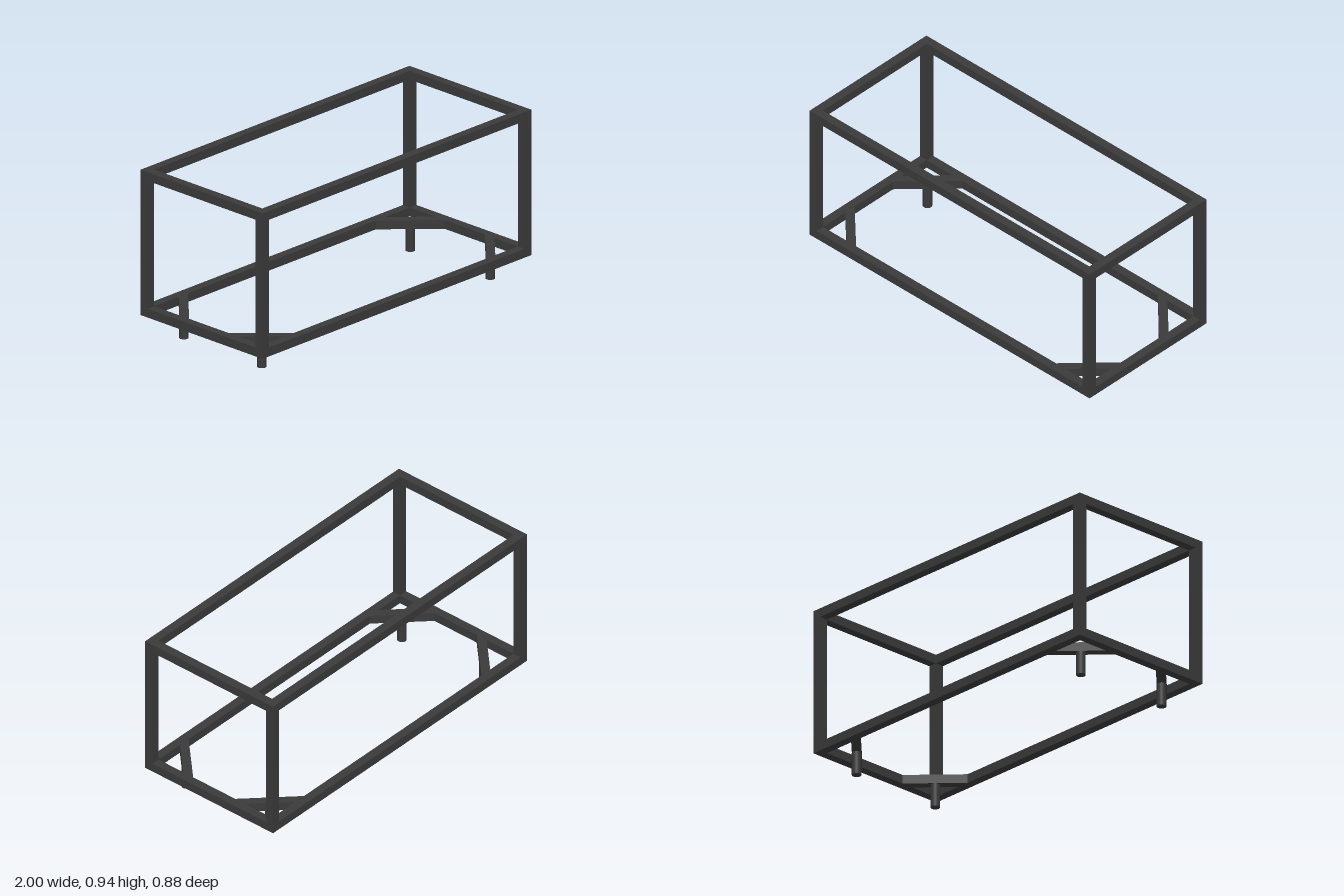
import * as THREE from 'three';

const T = 0.049;                       // tube thickness
const X = 1, Z = 0.4375;               // outer half sizes
const Y0 = 0.127, Y1 = 0.937;          // frame bottom and top

export function createModel() {
  const group = new THREE.Group();
  const metal = new THREE.MeshStandardMaterial({ color: 0x3a3a3a });

  const add = (name, geometry, x, y, z) => {
    const mesh = new THREE.Mesh(geometry, metal);
    mesh.name = name;
    mesh.position.set(x, y, z);
    group.add(mesh);
  };

  // Long and short rails, bottom and top
  for (const [level, y] of [['bottom', Y0 + T / 2], ['top', Y1 - T / 2]]) {
    for (const s of [-1, 1]) {
      add(level + 'LongRail', new THREE.BoxGeometry(2 * X, T, T), 0, y, s * (Z - T / 2));
      add(level + 'ShortRail', new THREE.BoxGeometry(T, T, 2 * (Z - T)), s * (X - T / 2), y, 0);
    }
  }

  const ix = X - T, iz = Z - T;        // inner faces of the rails
  const half = T / Math.SQRT2;         // half the brace width along a rail

  for (const sx of [-1, 1]) {
    for (const sz of [-1, 1]) {
      // Corner post between the rails
      add('cornerPost', new THREE.BoxGeometry(T, Y1 - Y0 - 2 * T, T),
        sx * (X - T / 2), (Y0 + Y1) / 2, sz * (Z - T / 2));

      // Diagonal corner brace with ends mitred against the rails
      const sum = sz > 0 ? 1.137 : 1.122;   // |x| + |z| on the centre line
      const inner = sum - half, outer = sum + half;
      const outline = [
        [inner - iz, iz], [outer - iz, iz], [ix, outer - ix], [ix, inner - ix],
      ].map(([x, z]) => new THREE.Vector2(sx * x, -sz * z));
      const brace = new THREE.ExtrudeGeometry(new THREE.Shape(outline), { depth: T, bevelEnabled: false });
      brace.rotateX(-Math.PI / 2);
      add('cornerBrace', brace, 0, Y0, 0);

      // Round foot under the middle of the brace
      const legX = (sum - iz + ix) / 2;
      add('foot', new THREE.CylinderGeometry(0.025, 0.025, Y0, 32),
        sx * legX, Y0 / 2, sz * (sum - legX));
    }
  }
  return group;
}
